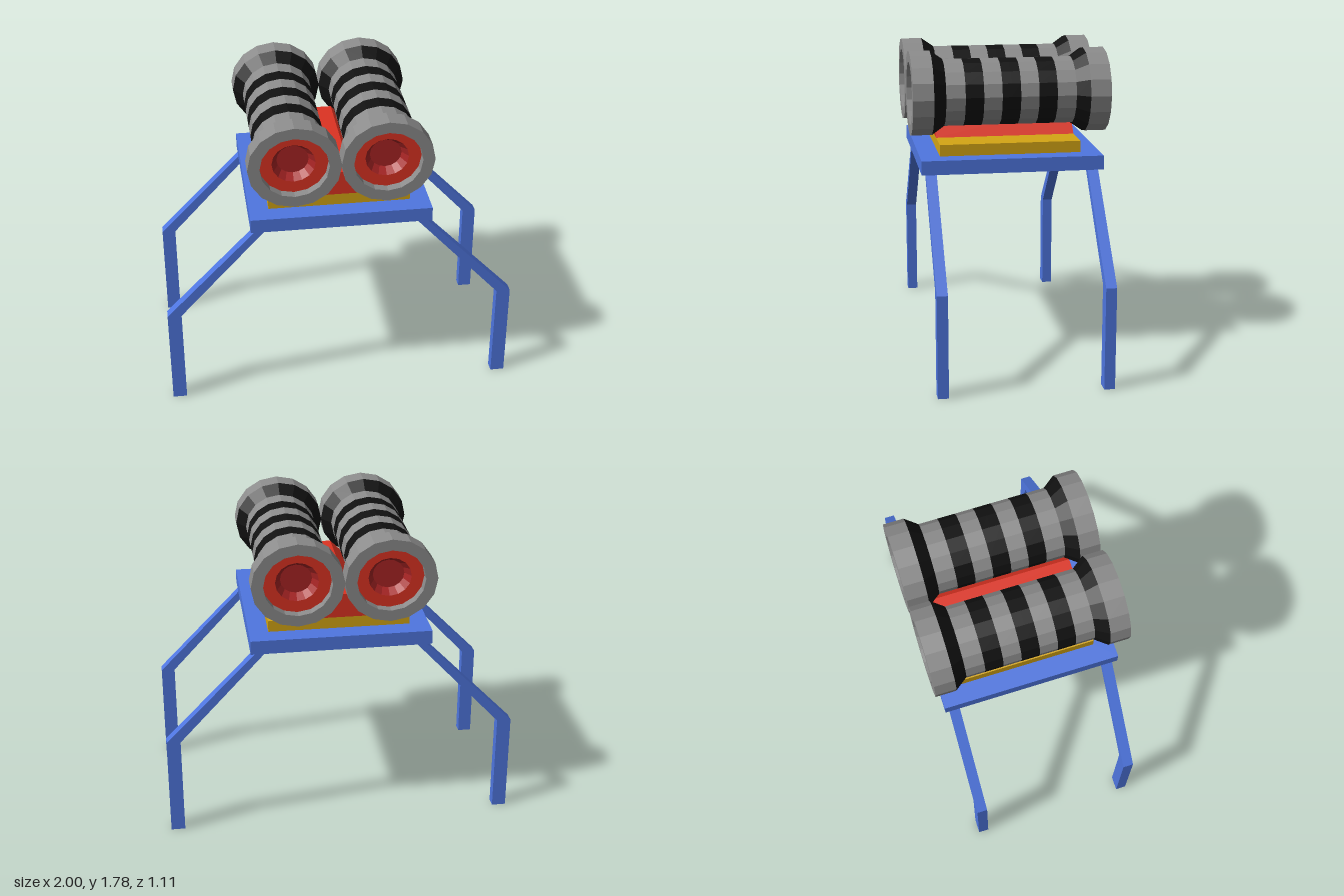
import * as THREE from 'three';

const mat = (color) => new THREE.MeshStandardMaterial({ color, flatShading: true });
const BLUE = mat(0x4f76e0), YELLOW = mat(0xd4a515), RED = mat(0xdd3322);
const DARK_RED = mat(0xa82424), GREY = mat(0x8c8c8c), BLACK = mat(0x111111);

function add(parent, name, geometry, material) {
  const mesh = new THREE.Mesh(geometry, material);
  mesh.name = name;
  parent.add(mesh);
  return mesh;
}

// Slab resting on height y
function slab(parent, name, w, h, d, y, material) {
  add(parent, name, new THREE.BoxGeometry(w, h, d), material).position.y = y + h / 2;
}

// Outline in x and y, extruded along z about its middle
function prism(points, depth) {
  const shape = new THREE.Shape(points.map(([x, y]) => new THREE.Vector2(x, y)));
  return new THREE.ExtrudeGeometry(shape, { depth, bevelEnabled: false }).translate(0, 0, -depth / 2);
}

// One half of a barrel, from the recessed end to the middle: [name, material, profile of radius and z]
const HALF = [
  ['core', DARK_RED, [[0, -0.45], [0.088, -0.45], [0.12, -0.5]]],
  ['endDisc', RED, [[0.12, -0.5], [0.19, -0.5]]],
  ['flange', GREY, [[0.19, -0.5], [0.19, -0.554], [0.257, -0.554], [0.257, -0.437]]],
  ['collar', BLACK, [[0.257, -0.437], [0.204, -0.366]]],
  ['outerBand', GREY, [[0.204, -0.366], [0.204, -0.258]]],
  ['stripe', BLACK, [[0.204, -0.258], [0.204, -0.155]]],
  ['innerBand', GREY, [[0.204, -0.155], [0.204, -0.052]]],
  ['middleStripe', BLACK, [[0.204, -0.052], [0.204, 0]]],
];

function makeBarrel(name) {
  const barrel = new THREE.Group();
  barrel.name = name;
  for (const [part, material, profile] of HALF) {
    const mirrored = profile.map(([r, z]) => [r, -z]).reverse();
    for (const [end, pts] of [['Back', profile], ['Front', mirrored]]) {
      const lathe = new THREE.LatheGeometry(pts.map(([r, z]) => new THREE.Vector2(r, z)), 16);
      add(barrel, part + end, lathe.rotateX(Math.PI / 2), material);
    }
  }
  barrel.scale.y = 0.935; // slightly flattened
  return barrel;
}

export function createModel() {
  const model = new THREE.Group();
  model.name = 'barrelStand';

  // Table top and mounting plate
  slab(model, 'tableTop', 1.02, 0.08, 1.026, 1.12, BLUE);
  slab(model, 'mountingPlate', 0.8, 0.065, 0.8, 1.2, YELLOW);

  // Wedge between the barrels
  add(model, 'saddle', prism([[-0.2, 1.265], [0.2, 1.265], [0.06, 1.405], [-0.06, 1.405]], 0.8), RED);

  // Four bent legs
  const legOutline = [[0.92, 0], [1, 0], [1, 0.58], [0.47, 1.125], [0.43, 1.125], [0.43, 1.11], [0.92, 0.58]];
  for (const sx of [-1, 1]) {
    const outline = legOutline.map(([x, y]) => [x * sx, y]);
    for (const sz of [-1, 1]) {
      const name = (sz > 0 ? 'front' : 'back') + (sx > 0 ? 'Left' : 'Right') + 'Leg';
      add(model, name, prism(outline, 0.06), BLUE).position.z = sz * 0.457;
    }
  }

  // Twin striped barrels
  for (const [name, x] of [['rightBarrel', -0.265], ['leftBarrel', 0.247]]) {
    const barrel = makeBarrel(name);
    barrel.position.set(x, 1.535, 0);
    model.add(barrel);
  }
  return model;
}
